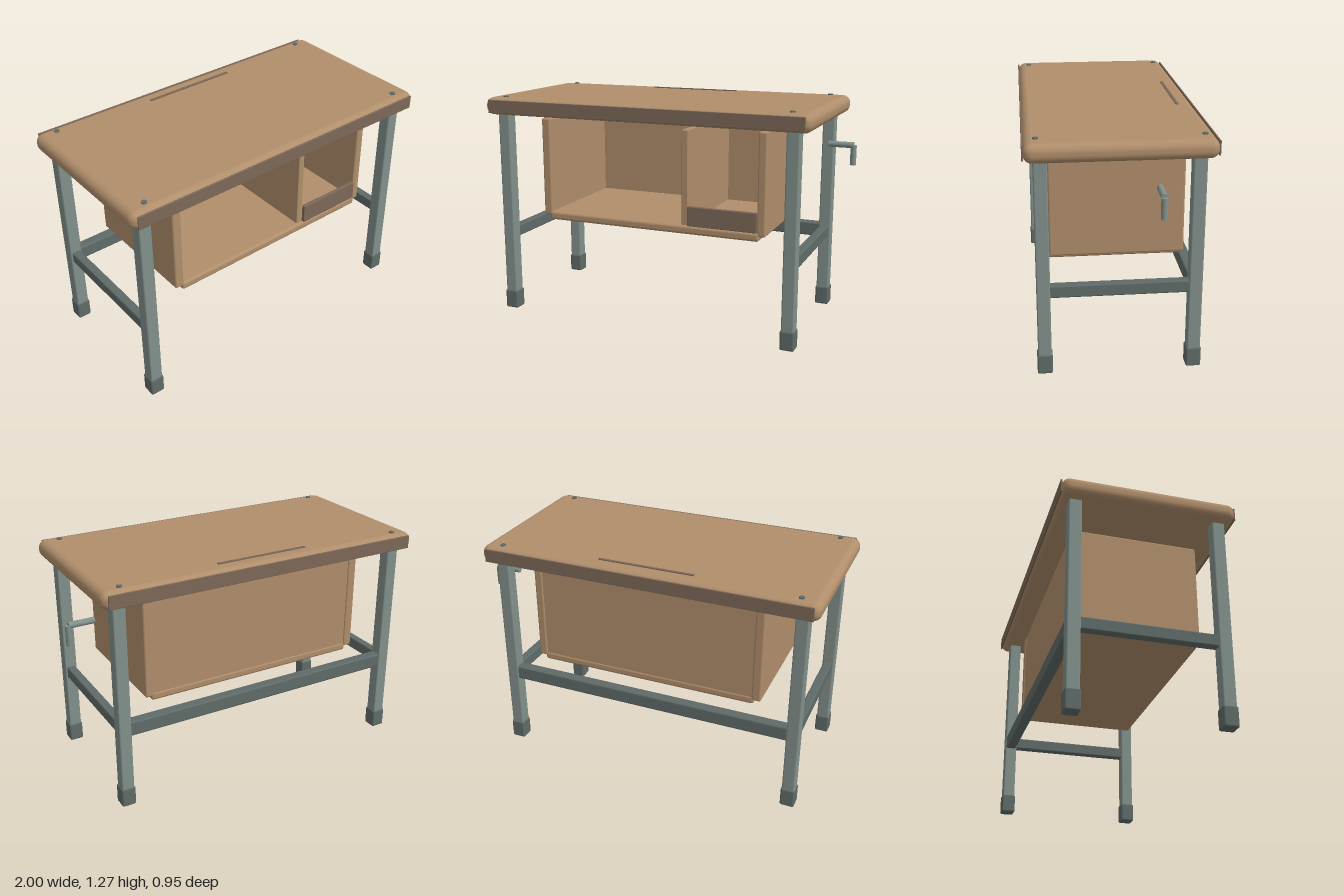
import * as THREE from 'three';
import { RoundedBoxGeometry } from 'three/addons/geometries/RoundedBoxGeometry.js';

const material = (name, color) => Object.assign(new THREE.MeshStandardMaterial({ color }), { name });

export function createModel() {
  const model = new THREE.Group();
  model.name = 'workDesk';

  const wood = material('tan wood', 0xb08e6b);
  const darkWood = material('dark wood', 0x7d6858);
  const steel = material('grey steel', 0x82908b);
  const darkSteel = material('dark steel', 0x5f6b68);

  const add = (name, geometry, mat, parent = model) => {
    const mesh = new THREE.Mesh(geometry, mat);
    mesh.name = name;
    parent.add(mesh);
    return mesh;
  };

  // Box given by its limits on each axis, with softened edges
  const box = (name, mat, [x0, x1], [y0, y1], [z0, z1], radius = 0.006, parent = model) => {
    const size = [x1 - x0, y1 - y0, z1 - z0];
    const geometry = radius > 0
      ? new RoundedBoxGeometry(...size, 3, radius)
      : new THREE.BoxGeometry(...size);
    const mesh = add(name, geometry, mat, parent);
    mesh.position.set((x0 + x1) / 2, (y0 + y1) / 2, (z0 + z1) / 2);
    return mesh;
  };

  // Rounded top with dark edging at the front and back
  box('tableTop', wood, [-1, 0.9], [1.165, 1.265], [-0.472, 0.472], 0.045);
  for (const side of [-1, 1]) {
    const z = [side * 0.468, side * 0.477].sort((a, b) => a - b);
    box('edgeStrip', darkWood, [-0.97, 0.87], [1.178, 1.253], z, 0.003);
  }
  box('topSlot', darkWood, [-0.32, 0.22], [1.255, 1.27], [-0.386, -0.37], 0);

  // Legs, feet and bolt caps
  const legXs = [-0.904, 0.797], legZ = 0.39;
  for (const x of legXs) {
    for (const z of [-legZ, legZ]) {
      const leg = new THREE.Group();
      leg.name = 'leg';
      leg.position.set(x, 0, z);
      model.add(leg);
      box('legPost', steel, [-0.035, 0.035], [0.05, 1.175], [-0.035, 0.035], 0.008, leg);
      box('foot', darkSteel, [-0.04, 0.04], [0, 0.11], [-0.04, 0.04], 0.01, leg);
    }
    for (const z of [-0.414, 0.408]) {
      add('boltCap', new THREE.CylinderGeometry(0.015, 0.015, 0.015, 16), darkSteel)
        .position.set(x + (x < 0 ? 0.014 : -0.01), 1.2635, z);
    }
    // Side rail
    box('sideRail', darkSteel, [x - 0.025, x + 0.025], [0.43, 0.497], [-0.36, 0.36], 0.008);
  }
  box('backRail', darkSteel, [-0.875, 0.77], [0.421, 0.503], [-0.42, -0.36], 0.01);

  // Open-fronted storage case
  const storage = new THREE.Group();
  storage.name = 'storageCase';
  model.add(storage);
  for (const [x0, x1] of [[-0.7, -0.648], [0.594, 0.642]]) {
    box('casePanel', wood, [x0, x1], [0.583, 1.147], [-0.355, 0.35], 0.01, storage);
  }
  box('caseFloor', wood, [-0.66, 0.607], [0.556, 0.604], [-0.352, 0.355], 0.015, storage);
  box('caseBack', wood, [-0.655, 0.6], [0.59, 1.147], [-0.348, -0.325], 0, storage);
  box('caseDivider', wood, [0.16, 0.197], [0.6, 1.13], [-0.33, 0.338], 0.005, storage);
  box('lowFront', darkWood, [0.2, 0.595], [0.604, 0.714], [0.335, 0.357], 0.004, storage);

  // Hand crank
  const crank = new THREE.Group();
  crank.name = 'crank';
  crank.position.set(0.84, 1.016, -0.19);
  model.add(crank);
  const shaft = add('crankShaft', new THREE.CylinderGeometry(0.017, 0.017, 0.14, 20), steel, crank);
  shaft.rotation.z = Math.PI / 2;
  shaft.position.x = 0.07;
  add('crankHandle', new THREE.CylinderGeometry(0.017, 0.017, 0.11, 20), steel, crank)
    .position.set(0.14, -0.056, 0);

  // Sit centred on the origin
  model.position.x = 0;
  return model;
}
